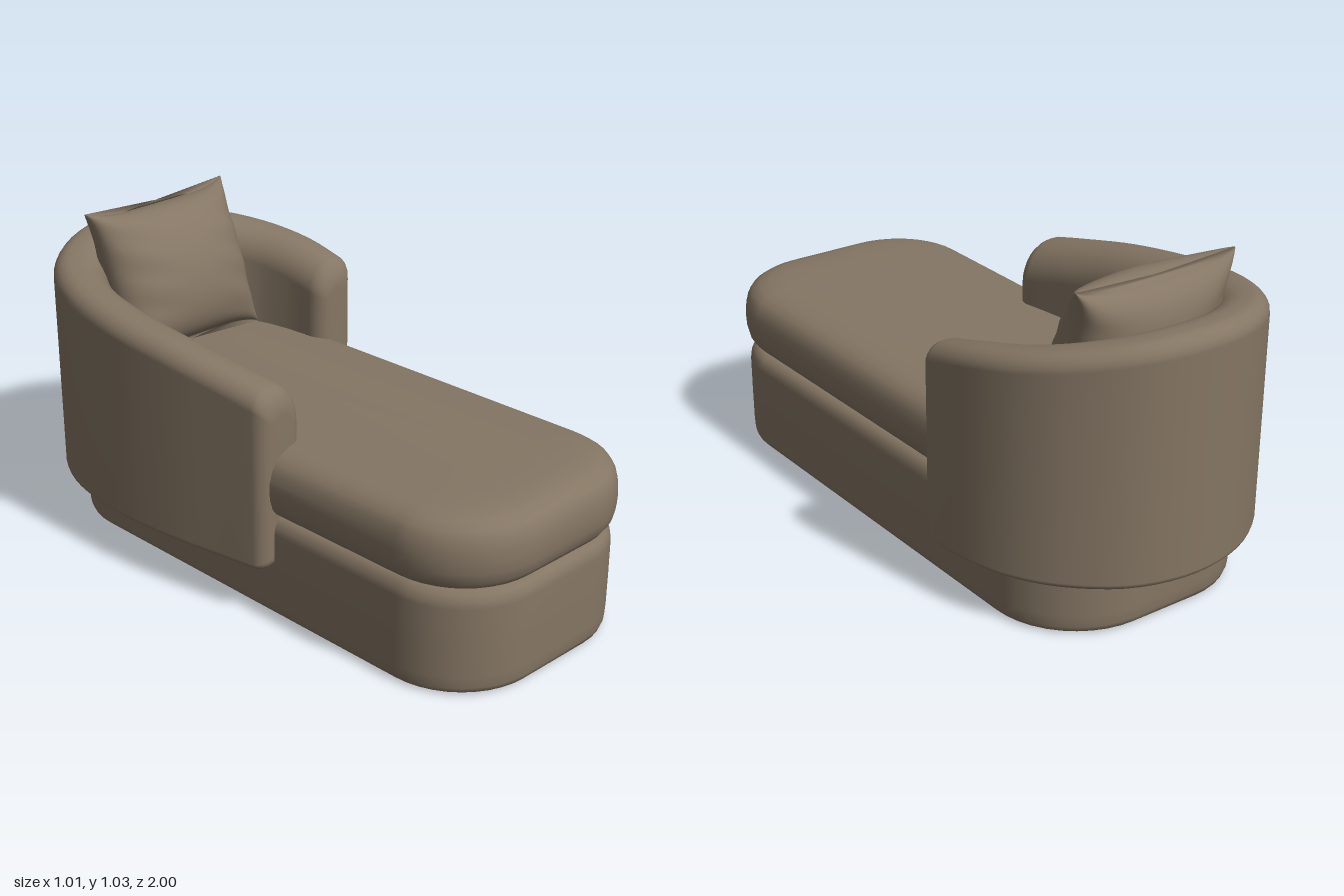
import * as THREE from 'three';

const fabric = new THREE.MeshStandardMaterial({ color: 0x857664 });
fabric.name = 'taupe fabric';

// Skin a closed solid over rings of points, with fan caps on both ends
function loft(name, rings) {
  const n = rings[0].length, last = (rings.length - 1) * n;
  const pts = rings.flat();
  const centre = (ring) => ring.reduce((a, p) => a.add(p), new THREE.Vector3()).divideScalar(n);
  pts.push(centre(rings[0]), centre(rings[rings.length - 1]));
  const index = [];
  for (let j = 0; j < n; j++) {
    const k = (j + 1) % n;
    for (let i = 0; i < last; i += n) {
      index.push(i + j, i + k, i + n + j, i + k, i + n + k, i + n + j);
    }
    index.push(pts.length - 2, k, j, pts.length - 1, last + j, last + k);
  }
  // Turn the faces outward if the solid came out inverted
  let volume = 0;
  for (let i = 0; i < index.length; i += 3) {
    const [a, b, c] = [0, 1, 2].map((k) => pts[index[i + k]]);
    volume += a.dot(new THREE.Vector3().crossVectors(b, c));
  }
  if (volume < 0) index.reverse();
  const geo = new THREE.BufferGeometry().setFromPoints(pts);
  geo.setIndex(index);
  geo.computeVertexNormals();
  const mesh = new THREE.Mesh(geo, fabric);
  mesh.name = name;
  return mesh;
}

// Quarter-arc corner points between two angles
function arc(cx, cy, rx, ry, from, steps) {
  return Array.from({ length: steps + 1 }, (_, i) => {
    const a = from + (i / steps) * Math.PI / 2;
    return [cx + rx * Math.cos(a), cy + ry * Math.sin(a)];
  });
}

// Rounded plan outline, shrunk by an inset
function planRing(p, inset, y) {
  const x0 = p.x0 + inset, x1 = p.x1 - inset, z0 = p.z0 + inset, z1 = p.z1 - inset;
  const f = Math.max(p.front - inset, 0.02), b = Math.max(p.back - inset, 0.02);
  const q = Math.PI / 2;
  return [
    ...arc(x1 - f, z1 - f, f, f, 0, 10),
    ...arc(x0 + f, z1 - f, f, f, q, 10),
    ...arc(x0 + b, z0 + b, b, b, 2 * q, 10),
    ...arc(x1 - b, z0 + b, b, b, 3 * q, 10),
  ].map(([x, z]) => new THREE.Vector3(x, y(z), z));
}

// Upholstered slab: profile is a list of [inset, height]
function slab(name, plan, profile, sag = 0) {
  return loft(name, profile.map(([inset, h]) =>
    planRing(plan, inset, (z) => h - sag * Math.max(0, (0.9 - z) / 1.8) * (h > 0.45 ? 1 : 0))));
}

// Wrap-around back and arms: one long arm (-x), one short arm (+x)
function wrap() {
  // Outer edge in plan; y holds the height of the top
  const path = new THREE.CatmullRomCurve3([
    [0.505, 0.785, -0.335], [0.495, 0.83, -0.52], [0.45, 0.86, -0.69], [0.36, 0.885, -0.83],
    [0.2, 0.912, -0.955], [0, 0.922, -1], [-0.2, 0.912, -0.96], [-0.37, 0.892, -0.84],
    [-0.465, 0.872, -0.67], [-0.505, 0.845, -0.42], [-0.49, 0.81, -0.14], [-0.455, 0.77, 0.08],
    [-0.43, 0.74, 0.225],
  ].map((p) => new THREE.Vector3(...p)));
  path.arcLengthDivisions = 600;
  const length = path.getLength(), r = 0.05;
  // Stations bunch up at both ends, where the section shrinks to round them off
  const stations = [];
  for (let k = 0; k <= 5; k++) {
    const a = (k / 5) * Math.PI / 2;
    stations.push([r * (1 - Math.cos(a)), r * (1 - Math.sin(a))]);
  }
  const ends = stations.map(([d, i]) => [length - d, i]).reverse();
  for (let k = 1; k < 50; k++) stations.push([r + (length - 2 * r) * k / 50, 0]);
  stations.push(...ends);

  const q = Math.PI / 2;
  return loft('wrapAroundBack', stations.map(([d, inset]) => {
    const u = Math.min(1, Math.max(0, d / length));
    const p = path.getPointAt(u), t = path.getTangentAt(u).setY(0).normalize();
    const s0 = inset, s1 = 0.165 + 0.025 * u - inset;
    const y0 = 0.165 + inset * 0.8, y1 = p.y - inset * 1.5;
    const k = (s1 - s0) / 0.18;
    const ri = 0.1 * k, ro = 0.055 * k, rb = 0.02 * k;
    return [
      ...arc(s1 - ri, y1 - ri * 1.1, ri, ri * 1.1, 0, 7),
      ...arc(s0 + ro, y1 - ro, ro, ro, q, 6),
      ...arc(s0 + rb, y0 + rb, rb, rb, 2 * q, 3),
      ...arc(s1 - rb, y0 + rb, rb, rb, 3 * q, 3),
    ].map(([s, y]) => {
      const lean = 0.015 * (1 - y) * Math.abs(t.x);
      return new THREE.Vector3(p.x + t.z * (s + lean), y, p.z - t.x * (s + lean));
    });
  }));
}

// Throw pillow: puffed square with pointed corners and light creases at the sides
function pillow() {
  const n = 32, rings = [];
  const spread = (i) => Math.sin((i / n - 0.5) * Math.PI);
  for (let i = 0; i <= n; i++) {
    const v = spread(i), ring = [];
    for (let j = 0; j < 2 * n; j++) {
      const u = j <= n ? spread(j) : spread(2 * n - j);
      const side = j <= n ? 1 : -1;
      const body = (1 - u * u) * (1 - v * v);
      const crease = 0.008 * Math.sin(v * 13 + u * 4) * u * u * Math.sqrt(body);
      ring.push(new THREE.Vector3(
        u * 0.29 * (1 - 0.1 * (1 - v ** 4)),
        v * 0.255 * (1 - 0.11 * (1 - u ** 4)),
        side * (0.15 * Math.pow(Math.max(body, 0), 0.42) + crease)));
    }
    rings.push(ring);
  }
  const mesh = loft('throwPillow', rings);
  mesh.rotation.x = -0.36;
  mesh.position.set(0, 0.79, -0.675);
  return mesh;
}

export function createModel() {
  const model = new THREE.Group();
  model.name = 'chaiseLounge';
  model.add(
    slab('base', { x0: -0.385, x1: 0.43, z0: -0.885, z1: 0.985, front: 0.27, back: 0.29 }, [
      [0.2, 0], [0.04, 0], [0.02, 0.002], [0.009, 0.009], [0.003, 0.025], [0.001, 0.06],
      [0, 0.17], [0, 0.285], [0.004, 0.305], [0.013, 0.324], [0.03, 0.335], [0.06, 0.338], [0.2, 0.338],
    ]),
    slab('seatCushion', { x0: -0.402, x1: 0.436, z0: -0.86, z1: 1, front: 0.28, back: 0.3 }, [
      [0.2, 0.335], [0.07, 0.335], [0.045, 0.34], [0.025, 0.352], [0.01, 0.373], [0.002, 0.405],
      [0, 0.44], [0.002, 0.475], [0.01, 0.507], [0.025, 0.53], [0.05, 0.547], [0.085, 0.557],
      [0.14, 0.563], [0.22, 0.565], [0.32, 0.566],
    ], 0.025),
    wrap(),
    pillow(),
  );
  return model;
}
